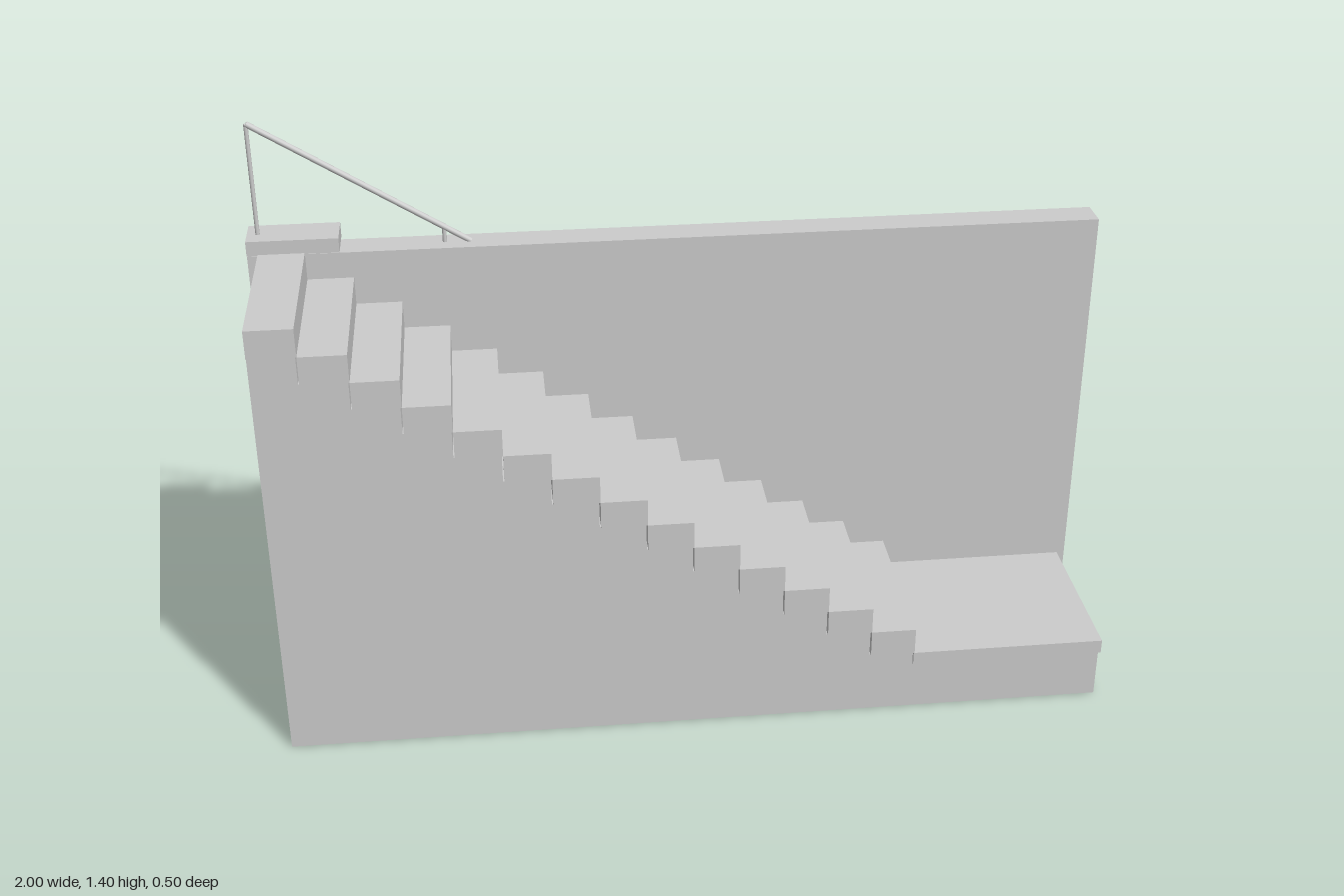
import * as THREE from 'three';

const material = new THREE.MeshStandardMaterial({ color: 0xcccccc });

// Box given by its minimum and maximum corners
function block(name, x0, x1, y0, y1, z0, z1) {
  const mesh = new THREE.Mesh(new THREE.BoxGeometry(x1 - x0, y1 - y0, z1 - z0), material);
  mesh.position.set((x0 + x1) / 2, (y0 + y1) / 2, (z0 + z1) / 2);
  mesh.name = name;
  return mesh;
}

// Round bar between two points
function bar(name, from, to, radius) {
  const dir = to.clone().sub(from);
  const mesh = new THREE.Mesh(new THREE.CylinderGeometry(radius, radius, dir.length(), 12), material);
  mesh.position.copy(from).add(to).multiplyScalar(0.5);
  mesh.quaternion.setFromUnitVectors(new THREE.Vector3(0, 1, 0), dir.normalize());
  mesh.name = name;
  return mesh;
}

export function createModel() {
  const model = new THREE.Group();
  model.name = 'staircase';

  const steps = 14, startX = 0.517, run = 0.1066, startY = 0.157, rise = 0.067;
  const backZ = -0.154, frontZ = 0.25;

  // Back wall
  model.add(block('wall', -1, 1, 0, 1.09, -0.235, -0.157));

  // Solid stepped base under the treads
  const outline = new THREE.Shape();
  outline.moveTo(-0.975, 0);
  outline.lineTo(0.975, 0);
  outline.lineTo(0.975, 0.122);
  outline.lineTo(startX - 0.003, 0.122);
  for (let i = 0; i < steps; i++) {
    const y = startY + i * rise;
    outline.lineTo(startX - i * run - 0.003, y);
    outline.lineTo(i < steps - 1 ? startX - (i + 1) * run - 0.003 : -0.975, y);
  }
  outline.closePath();
  const base = new THREE.Mesh(
    new THREE.ExtrudeGeometry(outline, { depth: 0.395, bevelEnabled: false }), material);
  base.position.z = -0.15;
  base.name = 'base';
  model.add(base);

  // Landing slab and steps
  model.add(block('landing', startX - 0.002, 0.98, 0.122, startY, backZ, frontZ));
  const flight = new THREE.Group();
  flight.name = 'steps';
  for (let i = 0; i < steps; i++) {
    const x = startX - i * run, y = startY + i * rise;
    flight.add(block('step', x - run, x, y, y + rise, backZ, frontZ));
  }
  model.add(flight);

  // Cap block on the wall
  model.add(block('wallCap', -1, -0.79, 1.093, 1.128, -0.248, -0.152));

  // Handrail with its two posts
  const z = -0.196;
  const top = new THREE.Vector3(-0.975, 1.394, z);
  const rail = new THREE.Group();
  rail.name = 'handrail';
  rail.add(
    bar('tallPost', new THREE.Vector3(-0.975, 1.09, z), top, 0.005),
    bar('shortPost', new THREE.Vector3(-0.55, 1.085, z), new THREE.Vector3(-0.55, 1.127, z), 0.005),
    bar('rail', top, new THREE.Vector3(-0.49, 1.09, z), 0.007)
  );
  model.add(rail);

  return model;
}
